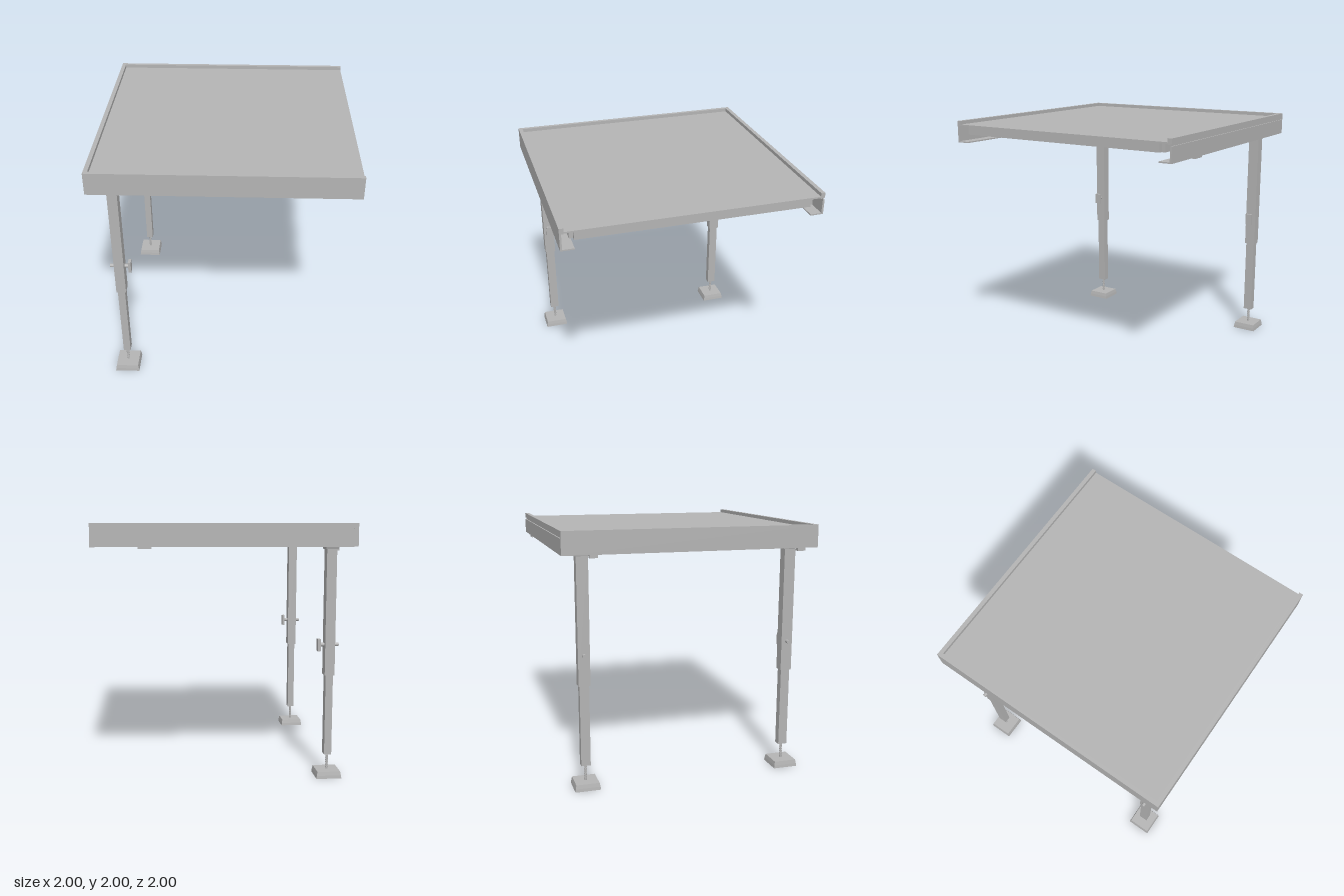
import * as THREE from 'three';

export function createModel() {
  const model = new THREE.Group();
  const metal = new THREE.MeshStandardMaterial({ color: 0xb4b4b4 });
  metal.name = 'grey metal';

  const add = (parent, name, geometry, x = 0, y = 0, z = 0) => {
    const mesh = new THREE.Mesh(geometry, metal);
    mesh.name = name;
    mesh.position.set(x, y, z);
    parent.add(mesh);
    return mesh;
  };
  // Box given by its limits on each axis
  const box = (parent, name, [x0, x1], [y0, y1], [z0, z1]) =>
    add(parent, name, new THREE.BoxGeometry(x1 - x0, y1 - y0, z1 - z0),
      (x0 + x1) / 2, (y0 + y1) / 2, (z0 + z1) / 2);

  // Folded edge rail: rim on top, thin wall, flange turned inward below
  const rail = (name, turn, grooved) => {
    const outer = grooved
      ? [[-1, 1.825], [-1, 1.945], [-0.99, 1.945], [-0.99, 1.96], [-1, 1.96], [-1, 2]]
      : [[-1, 1.825], [-1, 2]];
    const profile = [...outer, [-0.967, 2], [-0.967, 1.955], [-0.985, 1.955],
      [-0.985, 1.835], [-0.897, 1.835], [-0.897, 1.825]];
    const shape = new THREE.Shape(profile.map(([x, y]) => new THREE.Vector2(x, y)));
    const geometry = new THREE.ExtrudeGeometry(shape, { depth: 2, bevelEnabled: false });
    geometry.translate(0, 0, -1);
    geometry.rotateY(turn);
    add(model, name, geometry);
  };
  rail('sideRail', 0, false);
  rail('frontRail', Math.PI / 2, false);
  rail('backRail', -Math.PI / 2, true);

  // Deck and the beams beneath it
  box(model, 'deck', [-0.975, 1], [1.96, 1.972], [-0.975, 0.975]);
  box(model, 'openEndBeam', [0.94, 0.985], [1.893, 1.962], [-0.896, 0.896]);
  box(model, 'closedEndBeam', [-0.93, -0.897], [1.893, 1.962], [-0.896, 0.896]);
  box(model, 'middleBeam', [-0.04, 0.02], [1.893, 1.962], [-0.9, 0.9]);
  for (const side of [-1, 1]) {
    add(model, 'longBeam', new THREE.BoxGeometry(1.87, 0.069, 0.03), 0.02, 1.9275, side * 0.911);
  }
  box(model, 'latchTab', [0.55, 0.65], [1.813, 1.826], [-1, -0.89]);

  // Four-sided tapered slab with its sides along x and z
  const taper = (bottom, top, height) => {
    const g = new THREE.CylinderGeometry(top / Math.SQRT2, bottom / Math.SQRT2, height, 4).toNonIndexed();
    g.rotateY(Math.PI / 4);
    g.computeVertexNormals();
    return g;
  };

  // Telescopic legs with screw feet
  for (const [name, z, side] of [['frontLeg', 0.832, 1], ['backLeg', -0.827, -1]]) {
    const leg = new THREE.Group();
    leg.name = name;
    leg.position.set(-0.83, 0, z);
    model.add(leg);

    box(leg, 'topPlate', [-0.1, 0.1], [1.952, 1.961], [-0.1, 0.1]);
    box(leg, 'socket', [-0.055, 0.055], [1.83, 1.955], [-0.059, 0.059]);
    add(leg, 'collar', taper(0.118, 0.14, 0.035), 0, 1.822, 0).scale.x = 0.8;
    box(leg, 'outerTube', [-0.039, 0.039], [0.82, 1.83], [-0.0455, 0.0455]);
    box(leg, 'innerTube', [-0.029, 0.029], [0.18, 0.83], [-0.037, 0.037]);
    box(leg, 'sideCatch', [-0.077, -0.038], [1.79, 1.826], [0.048, 0.113]);

    // Flat bar across the corner
    const brace = add(leg, 'cornerBrace', new THREE.BoxGeometry(0.4, 0.012, 0.03), 0, 1.838, 0);
    brace.rotation.y = -side * Math.PI / 4;

    // Locking bolt and its grip
    const bolt = add(leg, 'lockingBolt',
      new THREE.CylinderGeometry(0.015, 0.015, 0.15, 16), 0, 1.06, 0);
    bolt.rotation.z = Math.PI / 2;
    box(leg, 'boltGrip', [0.07, 0.092], [1.01, 1.105], [-0.027, 0.027]);

    // Screw jack and foot
    add(leg, 'screw', new THREE.CylinderGeometry(0.009, 0.009, 0.14, 12), -0.002, 0.12, 0);
    for (let i = 0; i < 6; i++) {
      add(leg, 'screwThread', new THREE.CylinderGeometry(0.012, 0.012, 0.007, 12), -0.002, 0.07 + i * 0.019, 0);
    }
    add(leg, 'footBase', taper(0.2, 0.194, 0.024), 0, 0.012, 0);
    add(leg, 'footPad', taper(0.194, 0.182, 0.03), 0, 0.039, 0);
  }
  return model;
}
